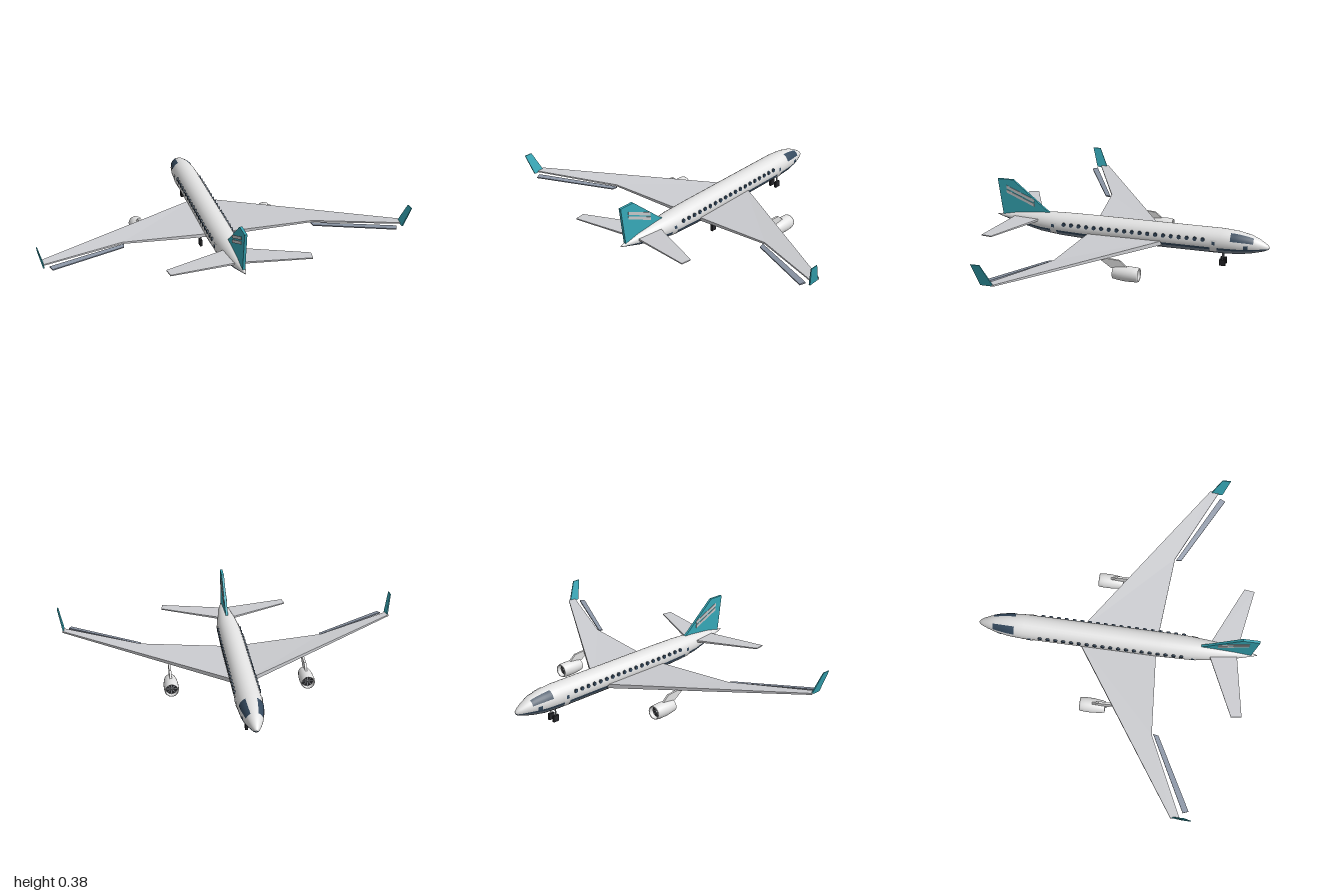
import * as THREE from 'three';

const mat = (name, color, side = THREE.FrontSide) => {
  const m = new THREE.MeshStandardMaterial({ color, side });
  m.name = name;
  return m;
};

// Fuselage stations: z, bottom y, top y, half width
const STATIONS = [
  [-0.79, 0.124, 0.127, 0.002], [-0.782, 0.113, 0.138, 0.013], [-0.765, 0.105, 0.151, 0.023],
  [-0.73, 0.095, 0.171, 0.037], [-0.69, 0.085, 0.188, 0.05], [-0.62, 0.074, 0.203, 0.064],
  [-0.53, 0.07, 0.21, 0.07], [0.25, 0.07, 0.21, 0.07], [0.4, 0.078, 0.208, 0.067],
  [0.52, 0.091, 0.203, 0.056], [0.66, 0.124, 0.19, 0.034], [0.79, 0.162, 0.165, 0.002],
];
const rad = THREE.MathUtils.degToRad;

// Point on the fuselage skin at z and angle (0 = left side, 90 = top)
function skin(z, deg, side = 1, off = 0) {
  let i = 0;
  while (i < STATIONS.length - 2 && z > STATIONS[i + 1][0]) i++;
  const a = STATIONS[i], b = STATIONS[i + 1], k = (z - a[0]) / (b[0] - a[0]);
  const [lo, hi, w] = [1, 2, 3].map(n => THREE.MathUtils.lerp(a[n], b[n], k));
  return [side * (w + off) * Math.cos(rad(deg)), (lo + hi) / 2 + ((hi - lo) / 2 + off) * Math.sin(rad(deg)), z];
}

// Smooth body with colour bands: 0 upper, 1 stripe, 2 belly
function fuselageGeometry() {
  const angles = [];
  for (let i = 0; i <= 16; i++) angles.push(-17 + i * 214 / 16);
  angles.push(210);
  for (let i = 1; i <= 8; i++) angles.push(210 + i * 15);
  const n = angles.length, pos = [], bands = [[], [], []];
  STATIONS.forEach(s => angles.forEach(a => pos.push(...skin(s[0], a))));
  for (let s = 0; s < STATIONS.length - 1; s++) {
    for (let j = 0; j < n; j++) {
      const A = s * n + j, B = s * n + (j + 1) % n;
      const band = j < 16 ? 0 : (j === 16 || j === n - 1) ? 1 : 2;
      bands[band].push(A, B, B + n, A, B + n, A + n);
    }
  }
  const g = new THREE.BufferGeometry();
  g.setAttribute('position', new THREE.Float32BufferAttribute(pos, 3));
  g.setIndex(bands.flat());
  let start = 0;
  bands.forEach((b, i) => { g.addGroup(start, b.length, i); start += b.length; });
  g.computeVertexNormals();
  return g;
}

// Curved panel lying just above the skin
function skinPanel(z0, z1, a0, a1, side, off = 0.002) {
  const pos = [], idx = [], N = 5;
  for (let i = 0; i <= N; i++) for (let j = 0; j <= N; j++) {
    pos.push(...skin(z0 + (z1 - z0) * i / N, a0 + (a1 - a0) * j / N, side, off));
    if (i < N && j < N) {
      const a = i * (N + 1) + j, b = a + N + 1;
      if (side > 0) idx.push(a, a + 1, b + 1, a, b + 1, b);
      else idx.push(a, b + 1, a + 1, a, b, b + 1);
    }
  }
  const g = new THREE.BufferGeometry();
  g.setAttribute('position', new THREE.Float32BufferAttribute(pos, 3));
  g.setIndex(idx);
  g.computeVertexNormals();
  return g;
}

// Plate from outline points [x, y, z, thickness], thickened along 'x' or 'y';
// the first point must see the whole outline
function plate(points, axis) {
  const dir = new THREE.Vector3(axis === 'x' ? 1 : 0, axis === 'y' ? 1 : 0, 0);
  let P = points.map(p => new THREE.Vector3(p[0], p[1], p[2]));
  let T = points.map(p => p[3]);
  const area = new THREE.Vector3();
  for (let i = 1; i < P.length - 1; i++) {
    area.add(P[i].clone().sub(P[0]).cross(P[i + 1].clone().sub(P[0])));
  }
  if (area.dot(dir) < 0) {
    P = [P[0], ...P.slice(1).reverse()];
    T = [T[0], ...T.slice(1).reverse()];
  }
  const up = P.map((p, i) => p.clone().addScaledVector(dir, T[i] / 2));
  const dn = P.map((p, i) => p.clone().addScaledVector(dir, -T[i] / 2));
  const v = [];
  for (let i = 1; i < P.length - 1; i++) v.push(up[0], up[i], up[i + 1], dn[0], dn[i + 1], dn[i]);
  for (let i = 0; i < P.length; i++) {
    const j = (i + 1) % P.length;
    v.push(dn[i], dn[j], up[j], dn[i], up[j], up[i]);
  }
  const g = new THREE.BufferGeometry().setFromPoints(v);
  g.computeVertexNormals();
  return g;
}

export function createModel() {
  const white = mat('body white', 0xe2e2e2, THREE.DoubleSide);
  const wingGrey = mat('wing grey', 0xcbccd0);
  const slate = mat('belly slate', 0x76828f);
  const flapGrey = mat('flap grey', 0x8b95a5);
  const navy = mat('stripe and glass navy', 0x34495e);
  const teal = mat('tail teal', 0x36a9b8);
  const stripeGrey = mat('fin stripe grey', 0xc4c6c8);
  const black = mat('tyre black', 0x26262a);
  const metal = mat('strut metal', 0x8a8d92);

  const model = new THREE.Group();
  const add = (name, geometry, material, parent = model) => {
    const m = new THREE.Mesh(geometry, material);
    m.name = name;
    parent.add(m);
    return m;
  };

  add('fuselage', fuselageGeometry(), [white, navy, slate]);

  // Tail fin
  add('tailFin', plate([[0, 0.165, 0.755, 0.014], [0, 0.38, 0.782, 0.014], [0, 0.38, 0.69, 0.014],
    [0, 0.222, 0.5, 0.014], [0, 0.195, 0.46, 0.014]], 'x'), teal);

  for (const s of [1, -1]) {
    const label = s > 0 ? 'left' : 'right';
    const half = new THREE.Group();
    half.name = label + 'Side';
    model.add(half);
    const surface = (name, pts, axis, material) =>
      add(name, plate(pts.map(([x, y, z, t]) => [s * x, y, z, t]), axis), material, half);

    // Wing, flap, winglet and tailplane
    surface('wing', [[0.53, 0.143, 0.265, 0.01], [0.02, 0.11, 0.226, 0.02], [0.02, 0.11, -0.225, 0.024],
      [0.975, 0.176, 0.42, 0.009], [0.968, 0.175, 0.468, 0.007]], 'y', wingGrey);
    surface('flap', [[0.522, 0.138, 0.272, 0.008], [0.527, 0.136, 0.302, 0.006],
      [0.925, 0.165, 0.512, 0.006], [0.938, 0.168, 0.482, 0.008]], 'y', flapGrey);
    surface('winglet', [[0.968, 0.17, 0.425, 0.008], [0.968, 0.17, 0.492, 0.008],
      [0.997, 0.287, 0.527, 0.005], [0.997, 0.287, 0.48, 0.005]], 'x', teal);
    surface('tailplane', [[0.005, 0.166, 0.51, 0.012], [0.38, 0.178, 0.68, 0.006],
      [0.372, 0.178, 0.738, 0.006], [0.005, 0.166, 0.675, 0.01]], 'y', wingGrey);

    // Two slanted bars on the fin
    for (const y of [0, -0.026]) {
      surface('finStripe', [[0.008, 0.345 + y, 0.73, 0.003], [0.008, 0.274 + y, 0.565, 0.003],
        [0.008, 0.256 + y, 0.565, 0.003], [0.008, 0.327 + y, 0.73, 0.003]], 'x', stripeGrey);
    }

    // Cockpit glass, doors and cabin windows
    add('cockpitWindow', skinPanel(-0.705, -0.58, 20, 64, s), navy, half);
    add('noseWindow', skinPanel(-0.678, -0.652, -22, 5, s), navy, half);
    for (const z of [-0.49, 0.435]) {
      add('door', skinPanel(z - 0.019, z + 0.019, -42, 20, s, 0.003), white, half);
      add('doorWindow', skinPanel(z - 0.009, z + 0.009, -2, 13, s, 0.005), navy, half);
    }
    for (let i = 0; i < 19; i++) {
      const z = -0.43 + i * 0.0445;
      const w = add('cabinWindow', new THREE.CylinderGeometry(0.011, 0.011, 0.009, 12), navy, half);
      w.rotation.z = Math.PI / 2;
      w.position.set(...skin(z, 17, s, 0.001));
    }

    // Engine
    const engine = new THREE.Group();
    engine.name = 'engine';
    engine.position.set(s * 0.38, 0.049, 0);
    half.add(engine);
    const profile = [[0.031, -0.125], [0.033, -0.152], [0.036, -0.158], [0.039, -0.15], [0.041, -0.125],
      [0.041, -0.085], [0.037, -0.045], [0.032, -0.015], [0.029, -0.015], [0.028, -0.035]];
    add('nacelle', new THREE.LatheGeometry(profile.map(p => new THREE.Vector2(...p)), 24)
      .rotateX(Math.PI / 2), white, engine);
    add('fanDisc', new THREE.CylinderGeometry(0.033, 0.033, 0.004, 24).rotateX(Math.PI / 2), black, engine)
      .position.z = -0.128;
    add('exhaustDisc', new THREE.CylinderGeometry(0.03, 0.03, 0.004, 24).rotateX(Math.PI / 2), black, engine)
      .position.z = -0.034;
    add('exhaustCone', new THREE.ConeGeometry(0.015, 0.03, 16).rotateX(Math.PI / 2), metal, engine)
      .position.z = -0.02;
    add('spinner', new THREE.ConeGeometry(0.009, 0.018, 16).rotateX(-Math.PI / 2), metal, engine)
      .position.z = -0.139;
    for (let i = 0; i < 8; i++) {
      add('fanBlade', new THREE.BoxGeometry(0.005, 0.025, 0.003).translate(0, 0.018, 0), metal, engine)
        .rotation.z = i * Math.PI / 4;
      engine.children.at(-1).position.z = -0.132;
    }
    surface('pylon', [[0.38, 0.08, -0.1, 0.012], [0.38, 0.122, -0.05, 0.012], [0.38, 0.13, 0.06, 0.012],
      [0.38, 0.12, 0.06, 0.012], [0.38, 0.075, -0.005, 0.012]], 'x', white);

    // Landing gear: nose pair and main pair
    for (const [name, x, z, top] of [['noseGear', 0.019, -0.535, 0.09], ['mainGear', 0.065, 0.12, 0.112]]) {
      add(name + 'Strut', new THREE.CylinderGeometry(0.004, 0.004, top - 0.02, 8), metal, half)
        .position.set(s * x, (top + 0.02) / 2, z);
      add(name + 'Wheel', new THREE.BoxGeometry(0.014, 0.036, 0.034), black, half)
        .position.set(s * x, 0.018, z);
    }
  }
  return model;
}
